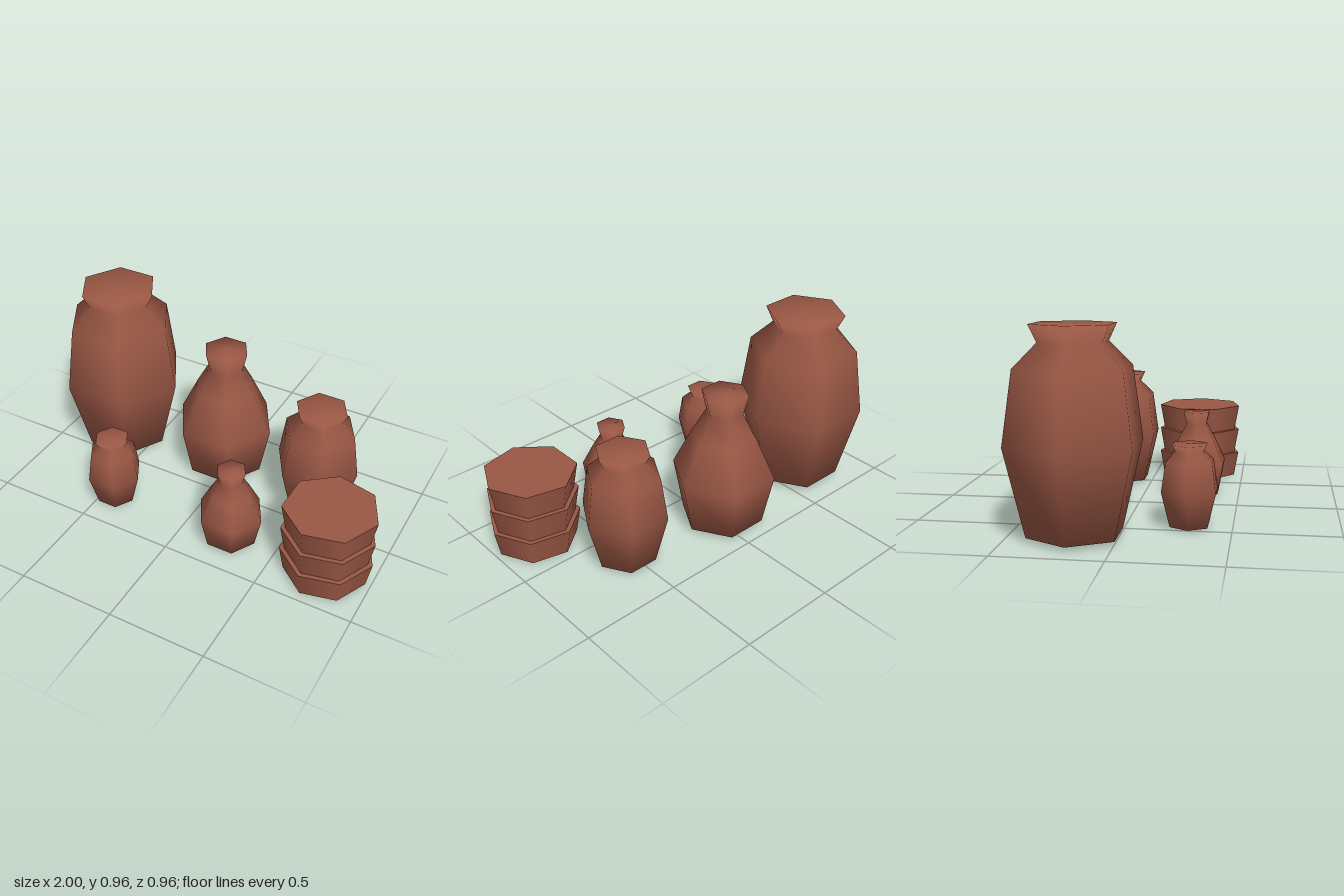
import * as THREE from 'three';

// Profiles as [radius, height], from the base centre to the closed top
const jarProfile = [
  [0, 0], [0.23, 0.02], [0.33, 0.43], [0.28, 0.77], [0.166, 0.88], [0.205, 0.96], [0, 0.96],
];
const bottleProfile = [
  [0, 0], [0.212, 0.016], [0.266, 0.29], [0.165, 0.5], [0.094, 0.63], [0.12, 0.735], [0, 0.735],
];

export function createModel() {
  const group = new THREE.Group();
  const clay = new THREE.MeshStandardMaterial({ color: 0x9b5845 });
  clay.name = 'terracotta';

  // Six-sided, smoothly shaded pot with corners on the x axis
  function addPot(name, profile, x, z, radial = 1, vertical = 1) {
    const points = profile.map(([r, y]) => new THREE.Vector2(r * radial, y * vertical));
    const pot = new THREE.Mesh(new THREE.LatheGeometry(points, 6, Math.PI / 2), clay);
    pot.name = name;
    pot.position.set(x, 0, z);
    group.add(pot);
  }

  addPot('largeJar', jarProfile, -0.67, -0.194);
  addPot('mediumJar', jarProfile, 0.517, -0.169, 0.662, 0.638);
  addPot('smallJar', jarProfile, -0.426, 0.298, 0.44, 0.41);
  addPot('largeBottle', bottleProfile, -0.059, -0.245);
  addPot('smallBottle', bottleProfile, 0.249, 0.272, 0.64, 0.6);

  // Stack of three seven-sided bowls, each flaring upward
  const bowls = new THREE.Group();
  bowls.name = 'bowlStack';
  const height = 0.135;
  const bowlGeometry = new THREE.CylinderGeometry(0.232, 0.208, height, 7, 1, false, Math.PI / 2);
  for (let i = 0; i < 3; i++) {
    const bowl = new THREE.Mesh(bowlGeometry, clay);
    bowl.name = `bowl${i + 1}`;
    bowl.position.y = height * (i + 0.5);
    bowls.add(bowl);
  }
  bowls.position.set(0.764, 0, 0.25);
  group.add(bowls);

  return group;
}
